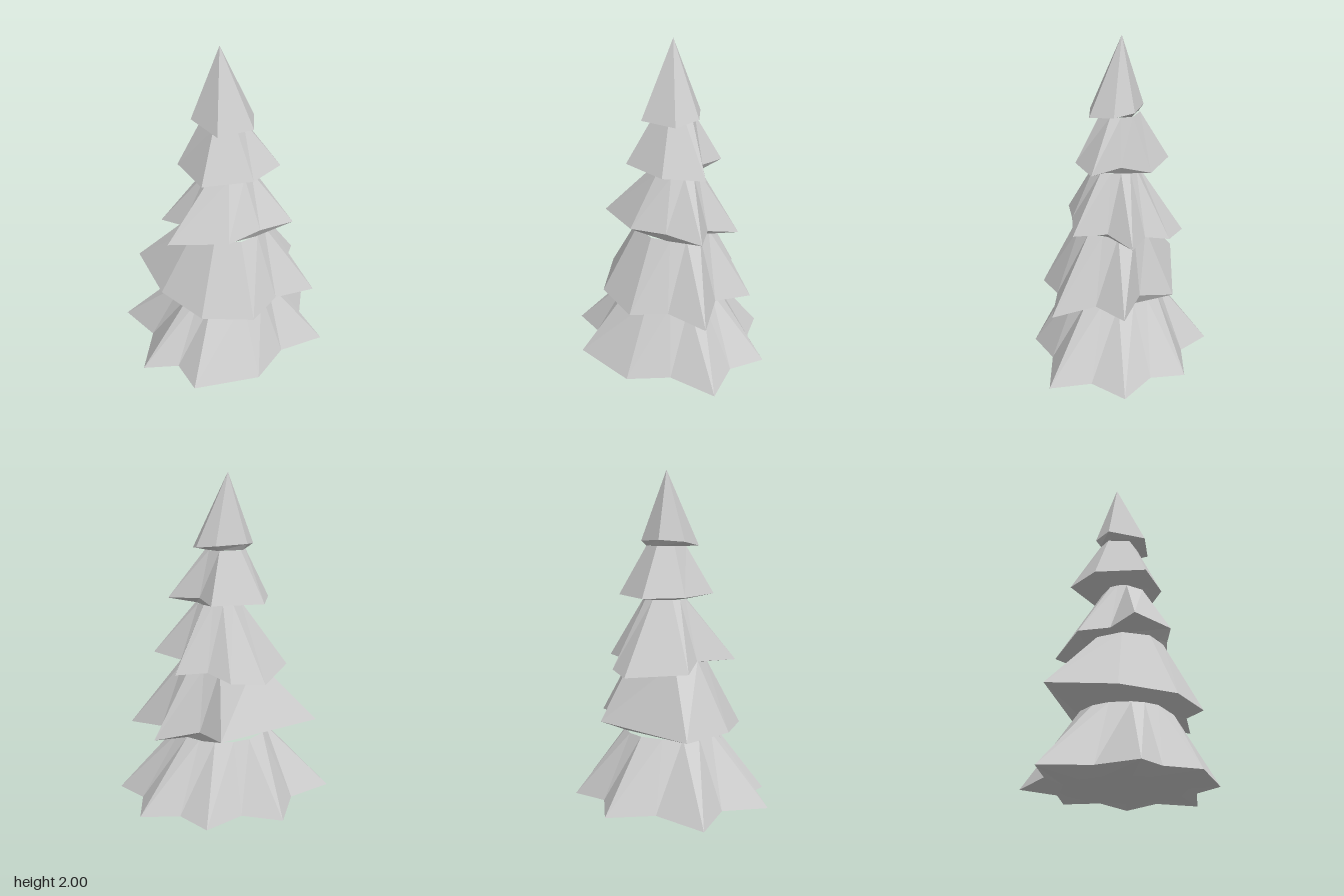
import * as THREE from 'three';

const material = new THREE.MeshStandardMaterial({ color: 0xcccccc, flatShading: true });

// Circles [x, y, z, radius] where one tier of branches meets the next, from the ground to the tip
const joints = [
  [0, 0, 0.03, 0.36],
  [0, 0.425, 0.04, 0.28],
  [0.02, 0.87, 0.04, 0.23],
  [0.03, 1.235, 0.03, 0.135],
  [0, 1.555, 0, 0.12],
  [-0.01, 2, -0.01, 0],
];

// Rim of a tier: its tips are joined by straight edges, or by a notch where a tip
// [x, z, notch] has a third value, which pulls the middle of its next edge inward.
// The rim rises along z by the given tilt.
function makeRim(tips, height, tilt) {
  return tips.flatMap(([x, z, notch], i) => {
    const tip = [x, height + tilt * z, z];
    if (!notch) return [tip];
    const [nx, nz] = tips[(i + 1) % tips.length];
    const mx = notch * (x + nx) / 2;
    const mz = notch * (z + nz) / 2;
    return [tip, [mx, height + tilt * mz + 0.015, mz]];
  });
}

// Puts one point of a joint beside each rim corner
function ringBeside(rim, [cx, y, cz, r]) {
  return rim.map(([x, , z]) => {
    const a = Math.atan2(z - cz, x - cx);
    return [cx + r * Math.cos(a), y, cz + r * Math.sin(a)];
  });
}

// Faceted skirt from the upper joint out to the rim and back in to the lower joint
function makeTier(name, level, height, tilt, tips) {
  const rim = makeRim(tips, height, tilt);
  const top = ringBeside(rim, joints[level + 1]);
  const low = ringBeside(rim, joints[level]);
  const centre = joints[level].slice(0, 3);
  const pointed = joints[level + 1][3] === 0;
  const positions = [];
  const tri = (...corners) => corners.forEach((c) => positions.push(...c));
  rim.forEach((p, i) => {
    const j = (i + 1) % rim.length;
    // sloping branches
    tri(rim[j], p, top[i]);
    if (!pointed) tri(rim[j], top[i], top[j]);
    // underside
    tri(p, rim[j], low[j]);
    tri(p, low[j], low[i]);
    tri(low[i], low[j], centre);
  });
  const geometry = new THREE.BufferGeometry();
  geometry.setAttribute('position', new THREE.Float32BufferAttribute(positions, 3));
  geometry.computeVertexNormals();
  const mesh = new THREE.Mesh(geometry, material);
  mesh.name = name;
  return mesh;
}

export function createModel() {
  const group = new THREE.Group();
  group.name = 'firTree';
  // Tips run from the back past the left (+x) side
  group.add(
    makeTier('bottomBranches', 0, 0.012, -0.01, [
      [0, -0.56, 0.82], [0.42, -0.38, 0.87], [0.64, -0.01, 0.87], [0.52, 0.435, 0.87],
      [-0.02, 0.56], [-0.42, 0.465, 0.83], [-0.64, 0.17, 0.8], [-0.555, -0.36, 0.82],
    ]),
    makeTier('lowerBranches', 1, 0.47, -0.06, [
      [0.265, -0.31, 0.69], [0.53, -0.01, 0.77], [0.44, 0.41, 0.87], [-0.03, 0.49],
      [-0.31, 0.35], [-0.44, 0.04], [-0.435, -0.36],
    ]),
    makeTier('middleBranches', 2, 0.87, 0.17, [
      [0, -0.385], [0.18, -0.29, 0.8], [0.41, -0.06, 0.73], [0.34, 0.28, 0.97],
      [-0.115, 0.32], [-0.42, 0.13, 0.68], [-0.325, -0.2],
    ]),
    makeTier('upperBranches', 3, 1.265, 0.02, [
      [-0.06, -0.295], [0.23, -0.17, 0.72], [0.3, 0.17], [0.07, 0.265],
      [-0.22, 0.185], [-0.235, -0.12],
    ]),
    makeTier('treeTop', 4, 1.575, -0.12, [
      [-0.055, -0.14], [0.13, -0.08], [0.185, 0.04], [0.11, 0.18],
      [-0.115, 0.175], [-0.175, -0.045],
    ]),
  );
  return group;
}
